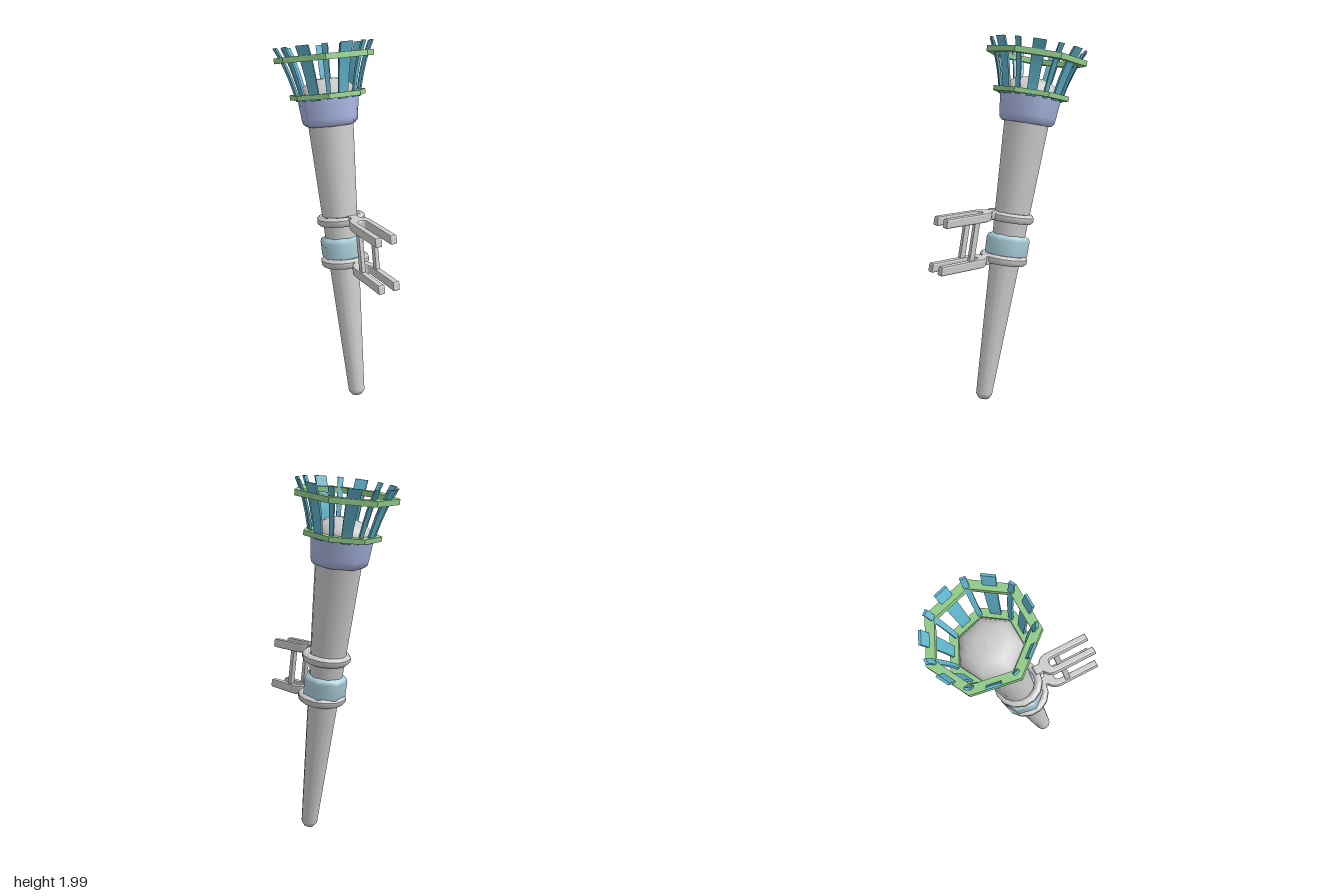
import * as THREE from 'three';

const TILT = -0.195;
const SIDES = 7;
const mat = (color, extra = {}) => new THREE.MeshStandardMaterial({ color, ...extra });

function add(parent, name, geometry, material) {
  const mesh = new THREE.Mesh(geometry, material);
  mesh.name = name;
  parent.add(mesh);
  return mesh;
}

// Turned part with one corner facing the back
function turned(points, sides) {
  const profile = points.map(([r, y]) => new THREE.Vector2(r, y));
  return new THREE.LatheGeometry(profile, sides).rotateY(Math.PI);
}

// Closed hoop with a rectangular section
const hoop = (inner, outer, y, h) => turned(
  [[inner, y - h / 2], [outer, y - h / 2], [outer, y + h / 2], [inner, y + h / 2], [inner, y - h / 2]], SIDES);

// Flared slat: curved side profile, extruded across and widened upwards
function slat(width) {
  const y0 = 1.69, y1 = 1.975, d = 0.006;
  const curve = new THREE.QuadraticBezierCurve(
    new THREE.Vector2(0.166, y0), new THREE.Vector2(0.195, 1.85), new THREE.Vector2(0.26, y1));
  const pts = curve.getPoints(5);
  const outline = [
    ...pts.map(p => new THREE.Vector2(p.x + d, p.y)),
    ...pts.reverse().map(p => new THREE.Vector2(p.x - d, p.y)),
  ];
  const geo = new THREE.ExtrudeGeometry(new THREE.Shape(outline), { depth: width, bevelEnabled: false });
  geo.translate(0, 0, -width / 2);
  const pos = geo.attributes.position;
  for (let i = 0; i < pos.count; i++) {
    const k = (pos.getY(i) - y0) / (y1 - y0);
    pos.setZ(i, pos.getZ(i) * (0.72 + 0.28 * k));
  }
  geo.computeVertexNormals();
  return geo;
}

// Two-pronged fork drawn in plan (x, z) and given a bevelled thickness
function fork() {
  const s = new THREE.Shape();
  s.moveTo(-0.018, -0.025);
  s.lineTo(0.018, -0.025);
  s.lineTo(0.018, 0.015);
  s.quadraticCurveTo(0.054, 0.03, 0.054, 0.075);
  s.lineTo(0.054, 0.31);
  s.lineTo(0.034, 0.31);
  s.lineTo(0.034, 0.08);
  s.quadraticCurveTo(0.03, 0.055, 0, 0.055);
  s.quadraticCurveTo(-0.03, 0.055, -0.034, 0.08);
  s.lineTo(-0.034, 0.31);
  s.lineTo(-0.054, 0.31);
  s.lineTo(-0.054, 0.075);
  s.quadraticCurveTo(-0.054, 0.03, -0.018, 0.015);
  const geo = new THREE.ExtrudeGeometry(s, {
    depth: 0.032, bevelSize: 0.008, bevelThickness: 0.009, bevelSegments: 2, curveSegments: 5,
  });
  geo.translate(0, 0, -0.016).rotateX(Math.PI / 2);
  // Lean the ends with the torch
  const pos = geo.attributes.position;
  for (let i = 0; i < pos.count; i++) pos.setZ(i, pos.getZ(i) - 0.2 * pos.getY(i));
  geo.computeVertexNormals();
  return geo;
}

export function createModel() {
  const model = new THREE.Group();
  model.name = 'wallTorch';
  const grey = mat(0xcccccc);
  const green = mat(0x93cf8b, { flatShading: true });
  const teal = mat(0x62b6cf, { flatShading: true });

  const torch = new THREE.Group();
  torch.name = 'torch';
  torch.position.set(0, 0.01, 0.17);
  torch.rotation.x = TILT;
  model.add(torch);

  // Tapered shaft
  add(torch, 'shaft', turned([[0, 0], [0.03, 0], [0.045, 0.022], [0.046, 0.03], [0.125, 1.57]], 14), grey);

  // Grip band
  add(torch, 'gripBand', turned(
    [[0.085, 0.805], [0.112, 0.813], [0.12, 0.83], [0.122, 0.91], [0.116, 0.93], [0.09, 0.94]], SIDES), mat(0xacd0dc));

  // Collar under the basket
  add(torch, 'collar', turned(
    [[0.11, 1.548], [0.138, 1.55], [0.153, 1.565], [0.158, 1.59], [0.168, 1.69], [0.163, 1.708], [0.14, 1.71]], SIDES),
  mat(0xa9b4e0));

  // Domed head
  add(torch, 'domedHead', turned(
    [[0.163, 1.69], [0.16, 1.72], [0.142, 1.752], [0.105, 1.78], [0.055, 1.796], [0, 1.8]], SIDES), grey);

  // Basket hoops
  add(torch, 'lowerHoop', hoop(0.163, 0.21, 1.711, 0.026), green);
  add(torch, 'upperHoop', hoop(0.228, 0.277, 1.91, 0.03), green);

  // Basket slats: wide on the flats, narrow on the corners
  const wide = slat(0.07), narrow = slat(0.03);
  for (let i = 0; i < SIDES * 2; i++) {
    const corner = i % 2 === 1;
    const mesh = add(torch, corner ? 'narrowSlat' : 'wideSlat', corner ? narrow : wide, teal);
    mesh.rotation.y = i * Math.PI / SIDES - Math.PI / 2;
  }

  // Bracket: two rings round the shaft, each with a level fork
  const section = [];
  for (let i = 0; i <= 8; i++) {
    const a = (i + 0.5) * Math.PI / 4;
    section.push([0.113 + 0.023 * Math.cos(a), 0.027 * Math.sin(a)]);
  }
  const ringGeo = turned(section, 14);
  const forkGeo = fork();
  const levels = [
    { name: 'upper', along: 1.035, y: 1.058, z: 0.121 },
    { name: 'lower', along: 0.802, y: 0.813, z: 0.158 },
  ];
  for (const l of levels) {
    add(torch, l.name + 'BracketRing', ringGeo, grey).position.set(0, l.along, 0.014);
    add(model, l.name + 'Fork', forkGeo, grey).position.set(0.007, l.y, l.z);
  }

  // Struts joining the forks
  for (const side of [-1, 1]) {
    const strut = add(model, 'strut', new THREE.BoxGeometry(0.022, 0.25, 0.03), grey);
    strut.position.set(0.007 + side * 0.043, 0.936, 0.262);
    strut.rotation.x = TILT;
  }
  return model;
}
